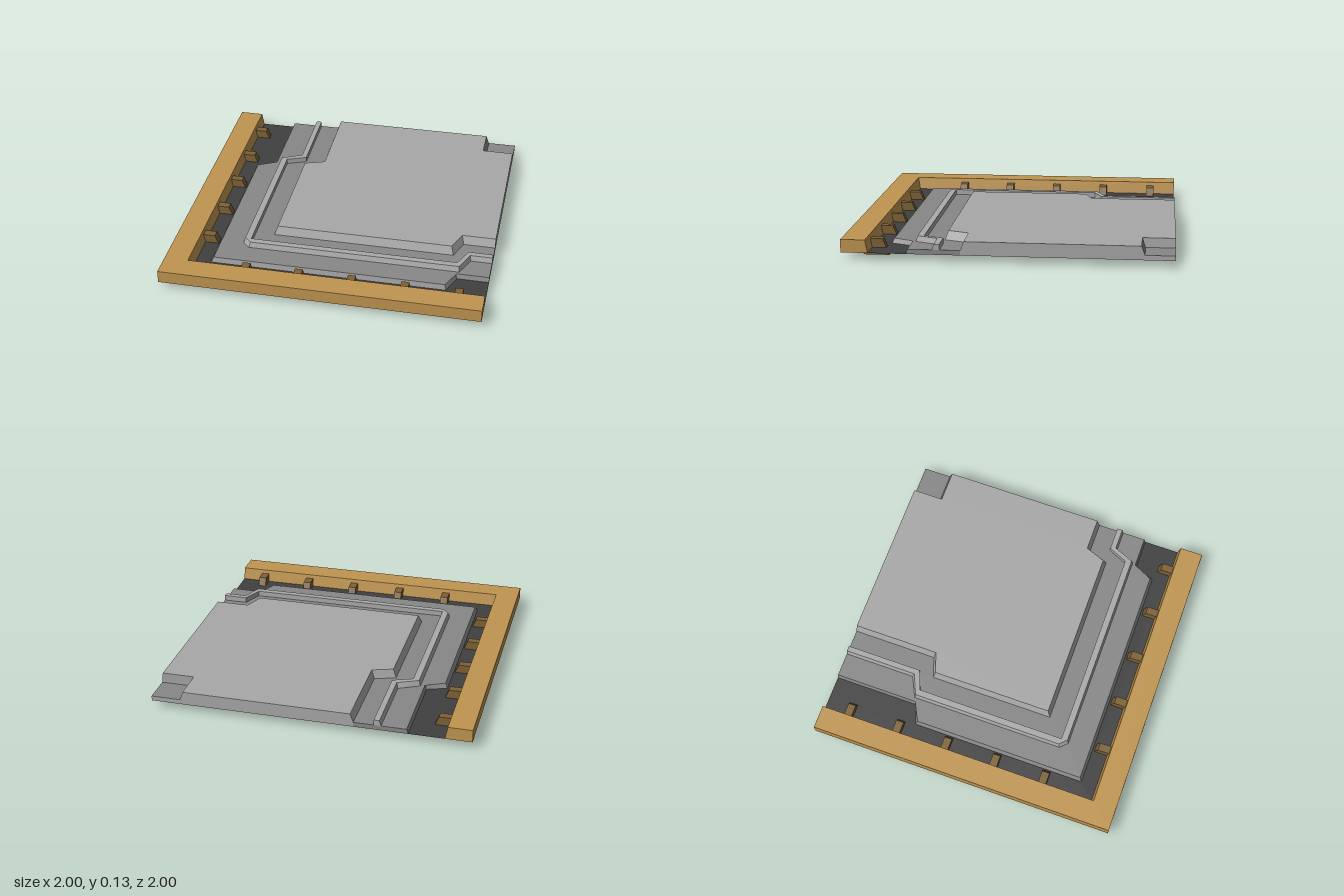
import * as THREE from 'three';
import { mergeGeometries } from 'three/addons/utils/BufferGeometryUtils.js';

const FLOOR = 0.045, STEP = 0.075, RIDGE = 0.11, TOP = 0.13, RIM = 0.125;

function fromTriangles(tris) {
  const g = new THREE.BufferGeometry().setFromPoints(tris);
  g.computeVertexNormals();
  return g;
}

// skin between successive paths; each ring is { y, p: [[x, z], ...] }
function loft(rings) {
  const tris = [];
  const at = (k, i) => new THREE.Vector3(rings[k].p[i][0], rings[k].y, rings[k].p[i][1]);
  for (let k = 0; k < rings.length - 1; k++) {
    for (let i = 0; i < rings[k].p.length - 1; i++) {
      const a = at(k, i), b = at(k, i + 1), c = at(k + 1, i + 1), d = at(k + 1, i);
      tris.push(a, b, c, a, c, d);
    }
  }
  return fromTriangles(tris);
}

// flat polygon facing a given axis: 'x' at x = w, 'y' at y = w, 'z' facing back at z = w
function face(axis, w, pts) {
  const place = {
    x: ([u, v]) => new THREE.Vector3(w, v, u),
    y: ([u, v]) => new THREE.Vector3(u, w, v),
    z: ([u, v]) => new THREE.Vector3(u, v, w),
  }[axis];
  const normal = { x: [1, 0, 0], y: [0, 1, 0], z: [0, 0, -1] }[axis];
  const out = new THREE.Vector3(...normal);
  const flat = pts.map(([u, v]) => new THREE.Vector2(u, v));
  const tris = [];
  for (const t of THREE.ShapeUtils.triangulateShape(flat, [])) {
    const [a, b, c] = t.map((i) => place(pts[i]));
    const n = b.clone().sub(a).cross(c.clone().sub(a));
    tris.push(a, ...(n.dot(out) > 0 ? [b, c] : [c, b]));
  }
  return fromTriangles(tris);
}

// end walls of a loft, at the back edge and at the x = 1 edge
function ends(rings, tailBack = [], tailSide = []) {
  const back = rings.map((r) => [r.p[0][0], r.y]);
  const side = rings.map((r) => [r.p[r.p.length - 1][1], r.y]);
  return [face('z', -1, [...back, ...tailBack]), face('x', 1, [...side, ...tailSide])];
}

// L-shaped path with a jog near both ends
const path = (x0, zA, zB, x1, z1, xA, xB, z0) =>
  [[x0, -1], [x0, zA], [x1, zB], [x1, z1], [x1, z1], [xA, z1], [xB, z0], [1, z0]];
const corner = (x, z) => [[x, -1], [x, z], [1, z]];

export function createModel() {
  const root = new THREE.Group();
  const add = (name, color, geos, parent = root) => {
    const mesh = new THREE.Mesh(
      mergeGeometries(geos.map((g) => (g.index ? g.toNonIndexed() : g))),
      new THREE.MeshStandardMaterial({ color, flatShading: true, side: THREE.DoubleSide }));
    mesh.name = name;
    parent.add(mesh);
    return mesh;
  };

  // outlines, from the outside in
  const base0 = path(-0.615, -0.45, -0.405, -0.74, 0.735, 0.75, 0.80, 0.605);
  const base1 = path(-0.605, -0.44, -0.395, -0.725, 0.72, 0.74, 0.79, 0.595);
  const ridge0 = path(-0.45, -0.535, -0.47, -0.58, 0.575, 0.81, 0.865, 0.445);
  const ridge1 = path(-0.44, -0.525, -0.465, -0.57, 0.565, 0.805, 0.86, 0.435);
  const ridge2 = path(-0.405, -0.50, -0.45, -0.53, 0.525, 0.79, 0.845, 0.40);
  const panel0 = path(-0.28, -0.45, -0.405, -0.41, 0.405, 0.75, 0.80, 0.275);
  const panel1 = path(-0.26, -0.44, -0.395, -0.39, 0.385, 0.735, 0.785, 0.255);
  // chamfered outer corner of the ridge
  for (const r of [ridge0, ridge1]) {
    r[3] = [r[3][0], r[3][1] - 0.045];
    r[4] = [r[4][0] + 0.045, r[4][1]];
  }

  // edge frame, open underneath
  const frame = [
    { y: FLOOR, p: corner(-1, 1) }, { y: RIM, p: corner(-1, 1) },
    { y: RIM, p: corner(-0.85, 0.85) }, { y: FLOOR, p: corner(-0.835, 0.835) },
  ];
  add('edgeFrame', 0xc09550, [loft(frame), ...ends(frame)]);

  // sunken channel floor
  add('channelFloor', 0x404040,
    [face('y', FLOOR, [...corner(-0.835, 0.835), ...base0.filter((_, i) => i !== 4).reverse()])]);

  // stepped base around the panel
  const outer = [{ y: FLOOR, p: base0 }, { y: STEP, p: base1 }, { y: STEP, p: ridge0 }];
  const inner = [{ y: STEP, p: ridge2 }, { y: STEP, p: panel0 }];
  const all = [...outer, ...inner];
  add('steppedBase', 0x888888, [loft(outer), loft(inner),
    ...ends(all, [[-0.28, FLOOR]], [[0.275, FLOOR]])]);

  // raised ridge
  const ridge = [{ y: STEP, p: ridge0 }, { y: RIDGE, p: ridge1 },
    { y: RIDGE, p: ridge2 }, { y: STEP, p: ridge2 }];
  add('raisedRidge', 0xaaaaaa, [loft(ridge), ...ends(ridge)]);

  // main panel with a notch in the back corner
  const panel = [{ y: STEP, p: panel0 }, { y: TOP, p: panel1 }];
  const n0 = [[0.815, -1], [0.815, -0.82], [1, -0.82]];
  const n1 = [[0.795, -1], [0.795, -0.80], [1, -0.80]];
  const topOutline = [...panel1.filter((_, i) => i !== 4), ...[...n1].reverse()];
  add('mainPanel', 0xa8a8a8, [
    loft(panel), face('y', TOP, topOutline),
    ...ends(panel,
      [[0.795, TOP], [0.815, STEP], [1, STEP], [1, FLOOR], [-0.28, FLOOR]],
      [[-0.80, TOP], [-0.82, STEP], [-1, STEP], [-1, FLOOR], [0.275, FLOOR]]),
  ]);
  add('cornerNotch', 0x888888, [
    loft([{ y: TOP, p: n1 }, { y: STEP, p: n0 }]),
    face('y', STEP, [...n0, [1, -1]]),
  ]);

  // brackets along both frame sides
  const profile = new THREE.Shape(
    [[-0.89, 0], [-0.73, 0], [-0.77, 0.10], [-0.85, 0.10]].map((p) => new THREE.Vector2(...p)));
  const bracketGeo = new THREE.ExtrudeGeometry(profile, { depth: 0.05, bevelEnabled: false });
  bracketGeo.translate(0, 0, -0.025);
  for (const [name, start, turn] of [['leftRow', -0.83, 0], ['frontRow', -0.495, Math.PI / 2]]) {
    const row = new THREE.Group();
    row.name = name === 'leftRow' ? 'sideBrackets' : 'frontBrackets';
    row.rotation.y = turn;
    for (let i = 0; i < 5; i++) {
      add('bracket', 0x7e6236, [bracketGeo], row).position.z = start + i / 3;
    }
    root.add(row);
  }
  return root;
}
